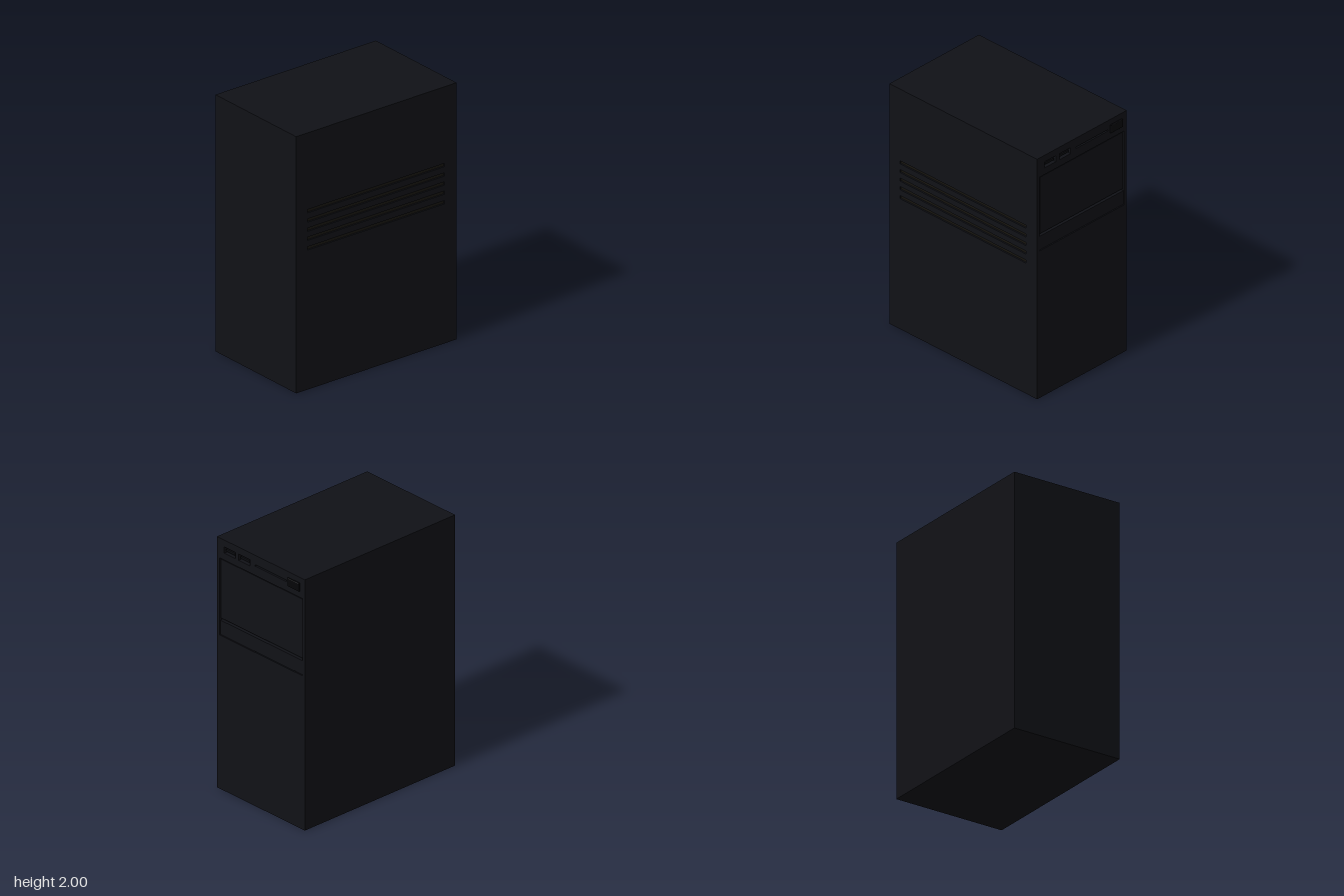
import * as THREE from 'three';

const mat = (color) => new THREE.MeshStandardMaterial({ color });
const caseMat = mat(0x101116);
const trimMat = mat(0x0c0d11);
const slotMat = mat(0x16140f);
const buttonMat = mat(0x050508);

// Box given by its min and max corners
function box(name, [x0, y0, z0], [x1, y1, z1], material) {
  const mesh = new THREE.Mesh(new THREE.BoxGeometry(x1 - x0, y1 - y0, z1 - z0), material);
  mesh.position.set((x0 + x1) / 2, (y0 + y1) / 2, (z0 + z1) / 2);
  mesh.name = name;
  return mesh;
}

function rectPath(path, [u0, v0, u1, v1]) {
  path.moveTo(u0, v0);
  path.lineTo(u1, v0);
  path.lineTo(u1, v1);
  path.lineTo(u0, v1);
  path.closePath();
  return path;
}

// Flat plate with rectangular openings, extruded along +z
function plate(name, outline, openings, depth, material) {
  const shape = rectPath(new THREE.Shape(), outline);
  openings.forEach((o) => shape.holes.push(rectPath(new THREE.Path(), o)));
  const mesh = new THREE.Mesh(
    new THREE.ExtrudeGeometry(shape, { depth, bevelEnabled: false }), material);
  mesh.name = name;
  return mesh;
}

export function createModel() {
  const tower = new THREE.Group();
  tower.name = 'computerTower';

  // Main case
  tower.add(box('caseBody', [-0.735, 0, -0.455], [0.69, 2, 0.44], caseMat));

  // Side panel with five long vent slots
  const slots = [1.39, 1.317, 1.246, 1.175, 1.1].map((y) => [-0.63, y - 0.013, 0.61, y + 0.013]);
  const side = plate('sidePanel', [-0.735, 0, 0.69, 2], slots, 0.015, caseMat);
  side.position.z = 0.44;
  tower.add(side);
  slots.forEach(([x0, y0, x1, y1]) =>
    tower.add(box('ventSlot', [x0, y0, 0.435], [x1, y1, 0.443], slotMat)));

  // Bezel on the +x end; across the plate u = -z
  const ports = [[-0.38, 1.895, -0.265, 1.945], [-0.23, 1.895, -0.115, 1.945]];
  const lightSlot = [-0.06, 1.913, 0.265, 1.925];
  const bay = [-0.43, 1.225, 0.43, 1.84];
  const bezel = plate('bezel', [-0.455, 0, 0.455, 2], [...ports, lightSlot, bay], 0.03, caseMat);
  bezel.rotation.y = Math.PI / 2;
  bezel.position.x = 0.69;
  tower.add(bezel);

  // Drive door and the cover below it, separated by narrow grooves
  tower.add(box('driveDoor', [0.68, 1.36, -0.42], [0.712, 1.83, 0.42], caseMat));
  tower.add(box('bayCover', [0.68, 1.23, -0.425], [0.716, 1.343, 0.425], caseMat));

  // Tongues inside the two ports
  ports.forEach(([u0, v0, u1, v1]) =>
    tower.add(box('portTongue', [0.68, v0 + 0.018, -u1 + 0.012], [0.712, v1 - 0.016, -u0 - 0.012], trimMat)));

  // Power button, rounded at its edges
  const r = 0.006;
  const outline = rectPath(new THREE.Shape(), [0.285 + r, 1.89 + r, 0.405 - r, 1.955 - r]);
  const button = new THREE.Mesh(new THREE.ExtrudeGeometry(outline, {
    depth: 0.015, bevelSize: r, bevelThickness: r, bevelSegments: 3,
  }), buttonMat);
  button.name = 'powerButton';
  button.rotation.y = Math.PI / 2;
  button.position.x = 0.713;
  tower.add(button);

  return tower;
}
